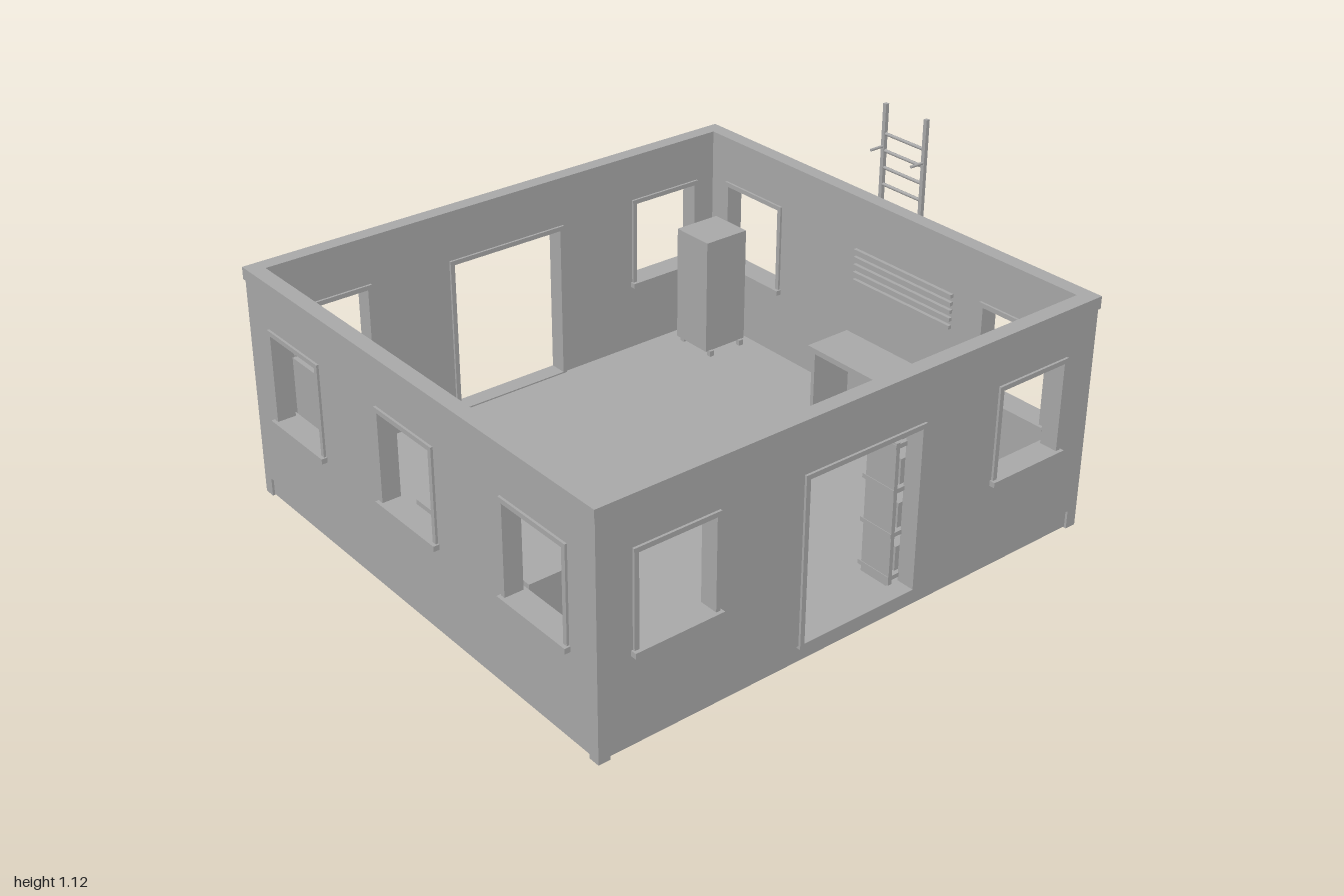
import * as THREE from 'three';

export function createModel() {
  const root = new THREE.Group();
  root.name = 'openRoofBuilding';
  const grey = new THREE.MeshStandardMaterial({ color: 0xa8a8a8 });
  grey.name = 'plainGrey';

  const add = (name, geo, parent = root) => {
    const m = new THREE.Mesh(geo, grey);
    m.name = name;
    parent.add(m);
    return m;
  };
  // box given by its two opposite corners
  const box = (name, x0, x1, y0, y1, z0, z1, parent) => {
    const m = add(name, new THREE.BoxGeometry(x1 - x0, y1 - y0, z1 - z0), parent);
    m.position.set((x0 + x1) / 2, (y0 + y1) / 2, (z0 + z1) / 2);
    return m;
  };
  const rod = (name, a, b, r, parent) => {
    const d = b.clone().sub(a);
    const m = add(name, new THREE.CylinderGeometry(r, r, d.length(), 8), parent);
    m.position.copy(a).add(b).multiplyScalar(0.5);
    m.quaternion.setFromUnitVectors(new THREE.Vector3(0, 1, 0), d.normalize());
  };
  const V = (x, y, z) => new THREE.Vector3(x, y, z);
  const rect = (u0, u1, y0, y1, C = THREE.Shape) =>
    new C([[u0, y0], [u1, y0], [u1, y1], [u0, y1]].map(p => new THREE.Vector2(...p)));
  const extrude = (s, depth) => new THREE.ExtrudeGeometry(s, { depth, bevelEnabled: false });

  const X0 = -0.97, X1 = 0.94, Z0 = -0.82, Z1 = 0.972, T = 0.048;
  const FLOOR = 0.065, TOP = 0.81, WY0 = 0.325, WY1 = 0.63;

  // Wall in local (u, y), thickness along +z, with framed windows and a door
  function wall(name, u0, u1, windows, door) {
    const g = new THREE.Group();
    g.name = name;
    root.add(g);
    const s = rect(u0, u1, FLOOR, TOP);
    const C = 0.016, P = 0.008;
    for (const [a, b] of windows) {
      s.holes.push(rect(a, b, WY0, WY1, THREE.Path));
      const f = rect(a - C, b + C, WY0 - 0.004, WY1 + C);
      f.holes.push(rect(a, b, WY0, WY1, THREE.Path));
      add('windowFrame', extrude(f, T + 2 * P), g).position.z = -P;
      box('windowSill', a - 0.022, b + 0.022, 0.308, 0.326, -0.02, T + 0.02, g);
    }
    if (door) {
      const [a, b] = door, h = 0.62;
      s.holes.push(rect(a, b, FLOOR + 0.001, h, THREE.Path));
      for (const [p, q] of [[a - C, a], [b, b + C]])
        box('doorJamb', p, q, FLOOR, h + C, -P, T + P, g);
      box('doorHead', a, b, h, h + C, -P, T + P, g);
      box('doorStep', a - C, b + C, 0.055, 0.07, -P, T + P, g);
    }
    add('wallPanel', extrude(s, T), g);
    return g;
  }
  const endWindows = [[-0.835, -0.57], [0.535, 0.80]];
  const door = [-0.235, 0.2];
  wall('frontWall', X0, X1, endWindows, door).position.z = Z1 - T;
  wall('backWall', X0, X1, endWindows, door).position.z = Z0;
  const sideWindows = [[-0.677, -0.412], [0.565, 0.835]];
  const left = wall('rightHandWall', Z0 + T, Z1 - T, sideWindows);
  left.rotation.y = -Math.PI / 2;
  left.position.x = X1;
  const right = wall('leftHandWall', Z0 + T, Z1 - T, [...sideWindows, [-0.06, 0.208]]);
  right.rotation.y = -Math.PI / 2;
  right.position.x = X0 + T;

  // Floor slab, corner feet and a slim band around the wall top
  box('floorSlab', X0 + 0.008, X1 - 0.008, 0.004, FLOOR, Z0 + 0.008, Z1 - 0.008);
  for (const x of [X0, X1 - 0.04])
    for (const z of [Z0, Z1 - 0.04])
      box('cornerFoot', x, x + 0.04, 0, FLOOR, z, z + 0.04);
  const band = rect(X0 - 0.005, X1 + 0.005, -Z1 - 0.005, -Z0 + 0.005);
  band.holes.push(rect(X0 + T, X1 - T, -Z1 + T, -Z0 - T, THREE.Path));
  const cap = add('wallTopBand', extrude(band, 0.042));
  cap.rotation.x = -Math.PI / 2;
  cap.position.y = 0.77;

  // Canopy over the back door with sloping struts
  box('canopy', -0.32, 0.29, 0.685, 0.71, -1, Z0);
  for (const x of [-0.27, 0.24]) {
    rod('canopyStrut', V(x, 0.615, Z0), V(x, 0.685, -0.975), 0.007);
    box('strutPlate', x - 0.014, x + 0.014, 0.6, 0.685, Z0 - 0.008, Z0);
  }

  // Outside ladder
  const ladder = new THREE.Group();
  ladder.name = 'ladder';
  root.add(ladder);
  for (const z of [-0.01, 0.175]) {
    box('ladderRail', 0.978, 0.992, 0.01, 1.125, z - 0.007, z + 0.007, ladder);
    for (const y of [0.08, 0.3, 0.53, 0.75])
      rod('ladderBracket', V(X1, y, z), V(0.985, y, z), 0.005, ladder);
    rod('ladderTopGrip', V(0.925, 0.975, z), V(0.985, 0.975, z), 0.005, ladder);
  }
  for (let i = 0; i < 17; i++) {
    const y = 0.06 + i * 0.06;
    rod('ladderRung', V(0.985, y, -0.01), V(0.985, y, 0.175), 0.006, ladder);
  }

  // Cabinets in the back corners and work tables along the sides
  for (const [x, w] of [[-0.892, 0.185], [0.675, 0.18]]) {
    const cab = new THREE.Group();
    cab.name = 'cabinet';
    root.add(cab);
    box('cabinetBody', x, x + w, 0.085, 0.515, -0.706, -0.542, cab);
    box('cabinetBackPanel', x + 0.03, x + w - 0.03, 0.13, 0.47, -0.713, -0.706, cab);
    for (let i = 0; i < 4; i++)
      box('cabinetVent', x + 0.045, x + w - 0.045, 0.35 + i * 0.025, 0.358 + i * 0.025, -0.718, -0.712, cab);
    for (const fx of [x + 0.012, x + w - 0.03])
      for (const fz of [-0.7, -0.55])
        box('cabinetFoot', fx, fx + 0.018, FLOOR, 0.086, fz, fz + 0.018, cab);

    const table = new THREE.Group();
    table.name = 'workTable';
    root.add(table);
    box('tableTop', x, x + w, 0.31, 0.33, -0.01, 0.56, table);
    for (const z of [0, 0.535])
      box('tableSide', x + 0.01, x + w - 0.01, FLOOR, 0.31, z, z + 0.015, table);
  }

  // Upright canister beside one table
  const can = add('canister', new THREE.LatheGeometry(
    [[0, 0], [0.053, 0], [0.053, 0.2], [0.035, 0.235], [0.012, 0.245], [0.012, 0.28], [0, 0.28]]
      .map(p => new THREE.Vector2(...p)), 24));
  can.position.set(-0.755, FLOOR, -0.03);

  // Storage shelf with three boxes on each level
  const shelf = new THREE.Group();
  shelf.name = 'storageShelf';
  root.add(shelf);
  for (const x of [0.157, 0.563])
    box('shelfSide', x, x + 0.014, FLOOR, 0.56, 0.803, 0.92, shelf);
  for (const y of [0.085, 0.237, 0.388, 0.54]) {
    box('shelfBoard', 0.155, 0.579, y, y + 0.015, 0.79, 0.92, shelf);
    for (const x of [0.195, 0.328, 0.46])
      box('storedBox', x, x + 0.078, y + 0.015, y + 0.1, 0.813, 0.905, shelf);
  }

  // Louvre slats on the inside of the ladder wall
  for (let i = 0; i < 5; i++) {
    const y = 0.5 + i * 0.028;
    box('louvreSlat', 0.879, X1 - T + 0.001, y, y + 0.013, -0.02, 0.43);
  }
  return root;
}
